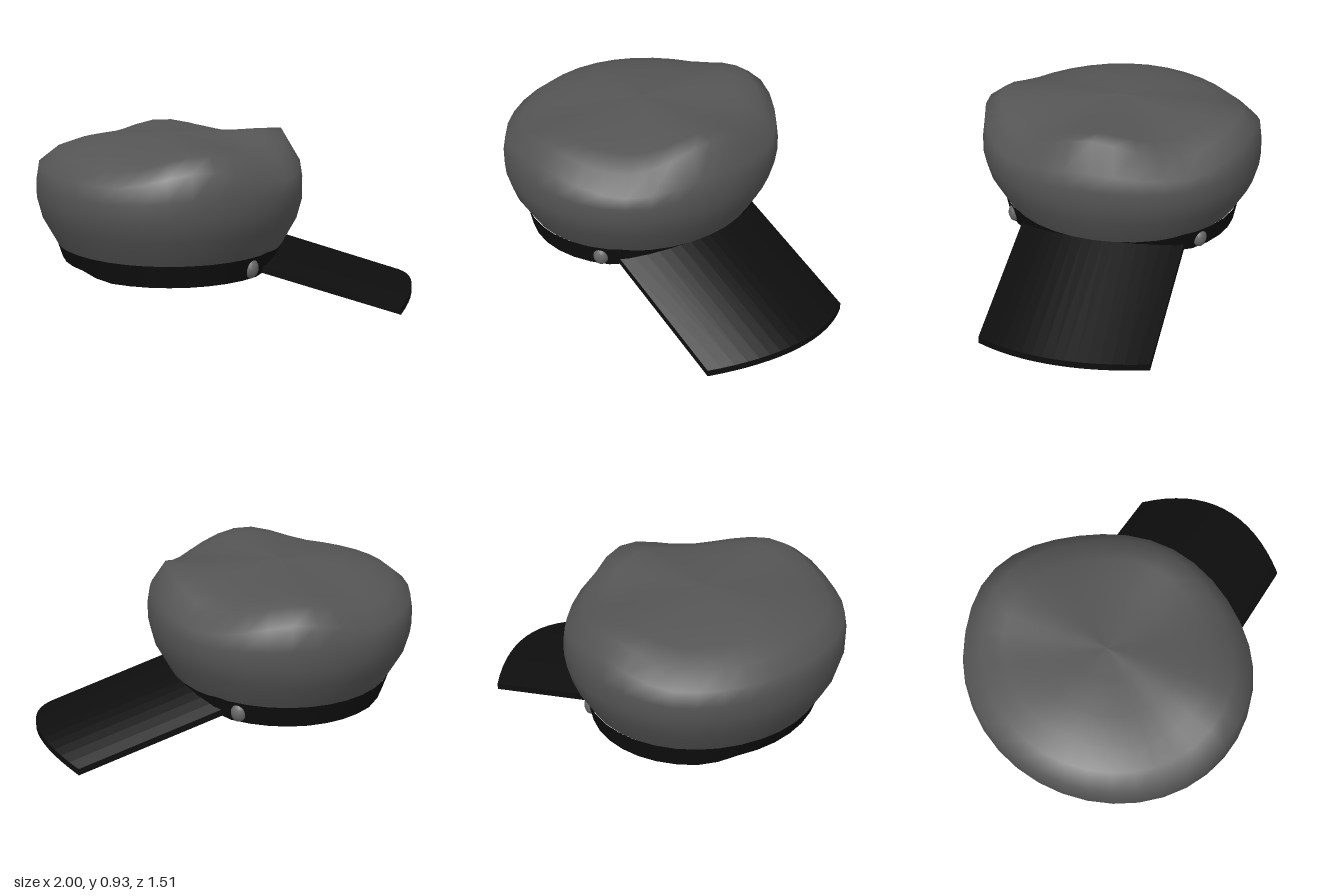
import * as THREE from 'three';

const SEG = 36, CX = -0.31;

// Smooth interpolation of a value keyed at angles 0 (brim side) to 180 degrees, mirrored left to right
const KEYS = [0, 40, 85, 122, 180];
function around(values, angle) {
  let d = THREE.MathUtils.radToDeg(angle) % 360;
  if (d > 180) d = 360 - d;
  let k = 0;
  while (k < KEYS.length - 2 && d > KEYS[k + 1]) k++;
  const t = THREE.MathUtils.smoothstep(d, KEYS[k], KEYS[k + 1]);
  return THREE.MathUtils.lerp(values[k], values[k + 1], t);
}

// Skin a stack of closed rings; point(ring, angle) returns [x, y, z]
function loft(count, point) {
  const pos = [], index = [];
  for (let i = 0; i < count; i++) {
    for (let j = 0; j < SEG; j++) {
      pos.push(...point(i, (j / SEG) * Math.PI * 2));
      if (i === count - 1) continue;
      const a = i * SEG + j, b = i * SEG + (j + 1) % SEG;
      index.push(a, a + SEG, b, b, a + SEG, b + SEG);
    }
  }
  const geo = new THREE.BufferGeometry();
  geo.setAttribute('position', new THREE.Float32BufferAttribute(pos, 3));
  geo.setIndex(index);
  geo.computeVertexNormals();
  return geo;
}

// Crown rings: radius factor, then height at each key angle
const CROWN = [
  [0.85, [0.36, 0.36, 0.36, 0.36, 0.36]],
  [0.96, [0.50, 0.50, 0.50, 0.50, 0.50]],
  [1.00, [0.61, 0.60, 0.61, 0.60, 0.61]],
  [1.00, [0.70, 0.68, 0.71, 0.68, 0.70]],
  [0.98, [0.79, 0.74, 0.84, 0.76, 0.78]],
  [0.86, [0.935, 0.83, 0.905, 0.83, 0.845]],
  [0.70, [0.93, 0.875, 0.915, 0.87, 0.885]],
  [0.50, [0.92, 0.90, 0.92, 0.90, 0.918]],
  [0.25, [0.922, 0.917, 0.925, 0.92, 0.927]],
  [0.00, [0.93, 0.93, 0.93, 0.93, 0.93]],
];

function crownGeometry() {
  return loft(CROWN.length, (i, a) => {
    const [r, heights] = CROWN[i];
    return [CX + 0.693 * r * Math.cos(a), around(heights, a), 0.757 * r * Math.sin(a)];
  });
}

// Band: an open strip that rises a little at the back and over the brim
function bandGeometry() {
  return loft(2, (i, a) => {
    const c = Math.cos(a);
    const bottom = c > 0.7 ? 0.255 + (c - 0.7) * 0.2
      : 0.255 + 0.03 * THREE.MathUtils.smoothstep(-c, 0.7, 0.86);
    const top = 0.367 + 0.016 * THREE.MathUtils.smoothstep(c, 0.72, 0.85);
    return i === 0
      ? [CX + 0.565 * c, bottom, 0.63 * Math.sin(a)]
      : [CX + 0.592 * c, top, 0.652 * Math.sin(a)];
  });
}

// Brim: a sloping, arched slab skinned from cross-sections along z
function brimGeometry() {
  const N = 16, HALF = 0.445, THICK = 0.035;
  const pos = [], index = [];
  for (let i = 0; i <= N; i++) {
    const u = (i / N) * 2 - 1, z = u * HALF;
    const xi = CX + 0.56 * Math.sqrt(1 - (z / 0.63) ** 2);
    const xo = 1 - 0.17 * u * u;
    const y = (x) => 0.107 + (1 - x) * 0.352 - 0.127 * u * u;
    pos.push(xi, y(xi), z, xo, y(xo), z, xo, y(xo) - THICK, z, xi, y(xi) - THICK, z);
    if (i === N) continue;
    for (let k = 0; k < 4; k++) {
      const a = i * 4 + k, b = i * 4 + (k + 1) % 4;
      index.push(a, a + 4, b, b, a + 4, b + 4);
    }
  }
  const e = N * 4;
  index.push(0, 1, 2, 0, 2, 3, e, e + 2, e + 1, e, e + 3, e + 2);
  const indexed = new THREE.BufferGeometry();
  indexed.setAttribute('position', new THREE.Float32BufferAttribute(pos, 3));
  indexed.setIndex(index);
  const geo = indexed.toNonIndexed();
  geo.computeVertexNormals();
  return geo;
}

export function createModel() {
  const group = new THREE.Group();
  group.name = 'cap';
  const cloth = new THREE.MeshStandardMaterial({ color: 0x555555, side: THREE.DoubleSide });
  cloth.name = 'grey cloth';
  const leather = new THREE.MeshStandardMaterial({ color: 0x0e0e0e, side: THREE.DoubleSide });
  leather.name = 'black leather';
  const metal = new THREE.MeshStandardMaterial({ color: 0x686868 });
  metal.name = 'grey button';

  const add = (name, geo, mat) => {
    const mesh = new THREE.Mesh(geo, mat);
    mesh.name = name;
    group.add(mesh);
    return mesh;
  };

  add('crown', crownGeometry(), cloth);
  add('band', bandGeometry(), leather);
  add('brim', brimGeometry(), leather);

  // Side buttons where the brim meets the band
  for (const s of [1, -1]) {
    const button = add(s > 0 ? 'frontButton' : 'backButton', new THREE.SphereGeometry(1, 10, 8), metal);
    button.scale.set(0.042, 0.05, 0.033);
    button.position.set(0.022, 0.308, s * 0.513);
    button.rotation.y = s * 0.55;
  }
  return group;
}
